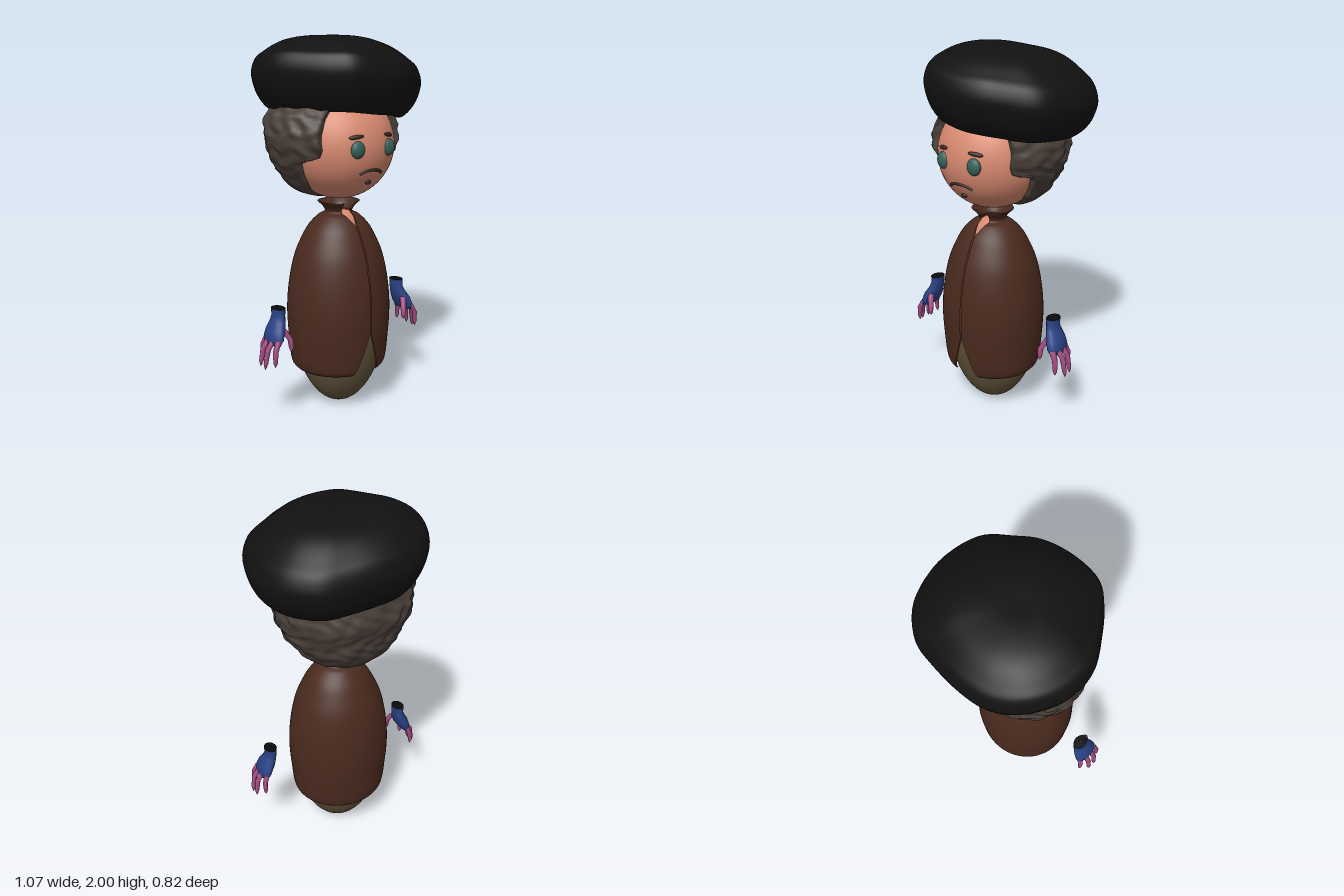
import * as THREE from 'three';

const mat = (color, side = THREE.FrontSide) => new THREE.MeshStandardMaterial({ color, side });
const V = (x, y, z) => new THREE.Vector3(x, y, z);

function part(parent, name, geometry, material, pos = [0, 0, 0], scale = [1, 1, 1]) {
  const mesh = new THREE.Mesh(geometry, material);
  mesh.name = name;
  mesh.position.set(...pos);
  mesh.scale.set(...scale);
  parent.add(mesh);
  return mesh;
}

// Skin a surface over rows of points listed from bottom to top
function loft(rows, closed = true) {
  const n = rows[0].length, index = [];
  for (let i = 0; i < rows.length - 1; i++) {
    for (let j = 0; j < (closed ? n : n - 1); j++) {
      const a = i * n + j, b = i * n + (j + 1) % n;
      index.push(a, b, a + n, b, b + n, a + n);
    }
  }
  const g = new THREE.BufferGeometry().setFromPoints(rows.flat());
  g.setIndex(index);
  g.computeVertexNormals();
  return g;
}

// Horizontal ellipses [x, y, z, rx, rz], bottom to top
function stack(sections, n = 16) {
  return loft(sections.map(([x, y, z, rx, rz]) => Array.from({ length: n }, (_, j) => {
    const t = j / n * Math.PI * 2;
    return V(x + rx * Math.sin(t), y, z + rz * Math.cos(t));
  })));
}

const smooth = (points, count) =>
  new THREE.CatmullRomCurve3(points.map(p => V(...p))).getPoints(count);

// Linear lookup in [[key, value], ...]
function lookup(table, k) {
  for (let i = 1; i < table.length; i++) {
    const [k0, v0] = table[i - 1], [k1, v1] = table[i];
    if (k <= k1) return v0 + (v1 - v0) * Math.max(0, (k - k0) / (k1 - k0));
  }
  return table[table.length - 1][1];
}

// Coat: a turned shell with a front opening, returning down the inside as a lining
function coatGeometry() {
  const gaps = [[0.23, 0.08], [0.46, 0.003], [1.02, 0.003], [1.08, 0.03], [1.14, 0.04]];
  const profile = smooth([[0.245, 0.228, 0], [0.262, 0.25, 0], [0.28, 0.4, 0], [0.287, 0.55, 0],
    [0.275, 0.7, 0], [0.243, 0.85, 0], [0.205, 0.94, 0], [0.165, 1.01, 0], [0.11, 1.065, 0],
    [0.075, 1.085, 0], [0.085, 1.11, 0], [0.115, 1.14, 0]], 60);
  const ring = (r, y, gap) => {
    const g = Math.asin(Math.min(0.9, gap / r));
    return Array.from({ length: 73 }, (_, j) => {
      const t = g + (2 * Math.PI - 2 * g) * j / 72;
      return V(r * Math.sin(t) - 0.005, y, 0.052 + r * 0.95 * Math.cos(t));
    });
  };
  const outer = profile.map(p => ring(p.x, p.y, lookup(gaps, p.y)));
  const inner = profile.map(p => ring(p.x - 0.01, p.y, lookup(gaps, p.y))).reverse();
  return loft([...outer, ...inner, outer[0]], false);
}

// Hair: lumpy shell around the head, open at the face, edges tucked into the head
function hairGeometry() {
  const cut = [[1.15, -0.02], [1.17, 0], [1.25, 0.07], [1.37, 0.1], [1.4, 0.2], [1.44, 0.22], [1.7, 0.22]];
  const z0 = -0.03;
  // half width, height, depth behind z0
  const profile = smooth([[0.005, 1.155, 0.005], [0.1, 1.165, 0.11], [0.2, 1.2, 0.18], [0.28, 1.28, 0.235],
    [0.34, 1.38, 0.265], [0.372, 1.48, 0.295], [0.365, 1.58, 0.28], [0.3, 1.68, 0.25]], 56);
  const n = 96;
  return loft(profile.map(({ x: a, y, z: b }) => {
    const bf = b * 1.2;
    const edge = Math.acos(Math.min(0.95, (lookup(cut, y) - z0) / bf));
    const row = [];
    for (let j = 0; j <= n; j++) {
      const t = edge + (2 * Math.PI - 2 * edge) * j / n;
      const c = Math.cos(t), x = a * Math.sin(t), z = (c > 0 ? bf : b) * c;
      const lump = Math.sin(x * 48 + 2 * Math.sin(y * 31)) * Math.sin(y * 52 + 1.5 * Math.sin(z * 37))
        + 0.7 * Math.sin(z * 55 + 2 * Math.sin(x * 29 + y * 23));
      const s = 1 + 0.022 * lump;
      row.push(V(x * s, y, z0 + z * s));
    }
    const tuck = p => V(p.x * 0.75, y, 0.05 + (p.z - 0.05) * 0.75);
    return [tuck(row[0]), ...row, tuck(row[n])];
  }), false);
}

// Beret: one irregular outline scaled through rounded layers, tilted down to the model's left
function beretGeometry() {
  const outline = new THREE.CatmullRomCurve3([[0.03, 0.405], [0.185, 0.376], [0.3, 0.31], [0.425, 0.22],
    [0.485, 0.07], [0.495, -0.07], [0.44, -0.24], [0.31, -0.36], [0.185, -0.393], [0, -0.413],
    [-0.155, -0.395], [-0.295, -0.31], [-0.395, -0.155], [-0.41, 0.015], [-0.325, 0.185],
    [-0.24, 0.3], [-0.155, 0.373]].map(([x, z]) => V(x, 0, z)), true).getPoints(80).slice(0, -1);
  // scale, height, share of the tilt
  const layers = smooth([[0.55, -0.1, 1], [0.68, -0.16, 1], [0.75, -0.182, 1], [0.83, -0.165, 1],
    [0.95, -0.09, 1], [1, 0, 1], [0.96, 0.07, 0.95], [0.84, 0.122, 0.8], [0.6, 0.182, 0.5],
    [0.3, 0.211, 0.4], [0.001, 0.213, 0.4]], 50);
  return loft(layers.map(({ x: s, y: h, z: k }) => outline.map(p => {
    const x = p.x * s, z = p.z * s;
    const fold = 0.006 * Math.sin(x * 14 + 1) * Math.sin(z * 12) * s;
    return V(x, 1.78 + h + k * (-0.105 * x + 0.05 * z) + fold, z);
  })));
}

// Hand hanging from the wrist, fingers curling outwards; side is +1 or -1
function makeHand(side) {
  const hand = new THREE.Group();
  hand.name = side > 0 ? 'leftHand' : 'rightHand';
  const palmMat = mat(0x2a4286), fingerMat = mat(0xa04a80);
  const shape = s => stack(s.map(([x, ...rest]) => [x * side, ...rest]));
  part(hand, 'palm', shape([[0.468, 0.44, 0.08, 0.001, 0.03], [0.466, 0.45, 0.08, 0.024, 0.066],
    [0.458, 0.48, 0.08, 0.036, 0.076], [0.443, 0.52, 0.076, 0.041, 0.068], [0.425, 0.56, 0.069, 0.034, 0.052],
    [0.417, 0.59, 0.066, 0.03, 0.044], [0.417, 0.628, 0.065, 0.034, 0.045]]), palmMat);
  part(hand, 'wristOpening', shape([[0.417, 0.628, 0.065, 0.034, 0.045],
    [0.417, 0.629, 0.065, 0.001, 0.001]]), mat(0x0a0a0a));
  // digit: root, bend and tip as [x, y, z]
  const digit = (name, root, bend, tip, r) => {
    const path = new THREE.CatmullRomCurve3([root, bend, tip].map(p => V(...p)));
    const rows = [0, 0.1, 0.4, 0.8, 1, 1.2].map(k => k * r);
    const ts = [1, 0.985, 0.94, 0.85, 0.5, 0];
    part(hand, name, shape(ts.map((t, i) => {
      const p = path.getPoint(t);
      return [p.x, p.y, p.z, rows[i] + 0.0005, rows[i] + 0.0005];
    })), fingerMat);
  };
  digit('indexFinger', [0.465, 0.48, 0.135], [0.492, 0.43, 0.147], [0.495, 0.345, 0.147], 0.014);
  digit('middleFinger', [0.47, 0.48, 0.1], [0.51, 0.43, 0.103], [0.525, 0.324, 0.097], 0.014);
  digit('ringFinger', [0.47, 0.48, 0.06], [0.508, 0.43, 0.057], [0.522, 0.33, 0.052], 0.014);
  digit('littleFinger', [0.46, 0.48, 0.025], [0.482, 0.43, 0.014], [0.482, 0.355, 0.01], 0.013);
  digit('thumb', [0.428, 0.53, 0.115], [0.4, 0.475, 0.148], [0.398, 0.408, 0.152], 0.015);
  return hand;
}

export function createModel() {
  const model = new THREE.Group();
  model.name = 'figure';
  const ball = new THREE.SphereGeometry(1, 48, 32);
  const skin = mat(0xd98a70), hairMat = mat(0x4a403a, THREE.DoubleSide), brow = mat(0x3a2a26);

  // Body
  part(model, 'lowerBody', ball, mat(0x62533a), [0, 0.52, 0.052], [0.265, 0.52, 0.255]);
  part(model, 'neck', stack([[0, 0.95, 0.055, 0.13, 0.12], [0, 1.02, 0.058, 0.12, 0.115],
    [0, 1.06, 0.06, 0.078, 0.076], [0, 1.085, 0.06, 0.05, 0.05], [0, 1.09, 0.06, 0.001, 0.001]], 32), skin);
  part(model, 'coat', coatGeometry(), mat(0x4a2a1e, THREE.DoubleSide));

  // Head
  part(model, 'head', ball, skin, [0, 1.445, 0.05], [0.29, 0.29, 0.29]);
  part(model, 'hair', hairGeometry(), hairMat);
  part(model, 'beret', beretGeometry(), mat(0x111111, THREE.DoubleSide));

  // Face
  for (const s of [1, -1]) {
    const side = s > 0 ? 'left' : 'right';
    part(model, side + 'Eye', ball, mat(0x36635a), [s * 0.1, 1.442, 0.318], [0.04, 0.044, 0.025]);
    const b = part(model, side + 'Eyebrow', ball, brow, [s * 0.105, 1.505, 0.311], [0.04, 0.011, 0.012]);
    b.rotation.set(-0.2, s * 0.36, s * -0.05);
  }
  const lip = new THREE.CatmullRomCurve3([V(-0.072, 1.315, 0.298), V(-0.04, 1.33, 0.311),
    V(0, 1.334, 0.318), V(0.04, 1.33, 0.311), V(0.072, 1.315, 0.298)]);
  part(model, 'moustache', new THREE.TubeGeometry(lip, 24, 0.008, 8), brow);
  part(model, 'chinTuft', ball, brow, [0, 1.268, 0.28], [0.018, 0.014, 0.012]);

  model.add(makeHand(1), makeHand(-1));
  return model;
}
